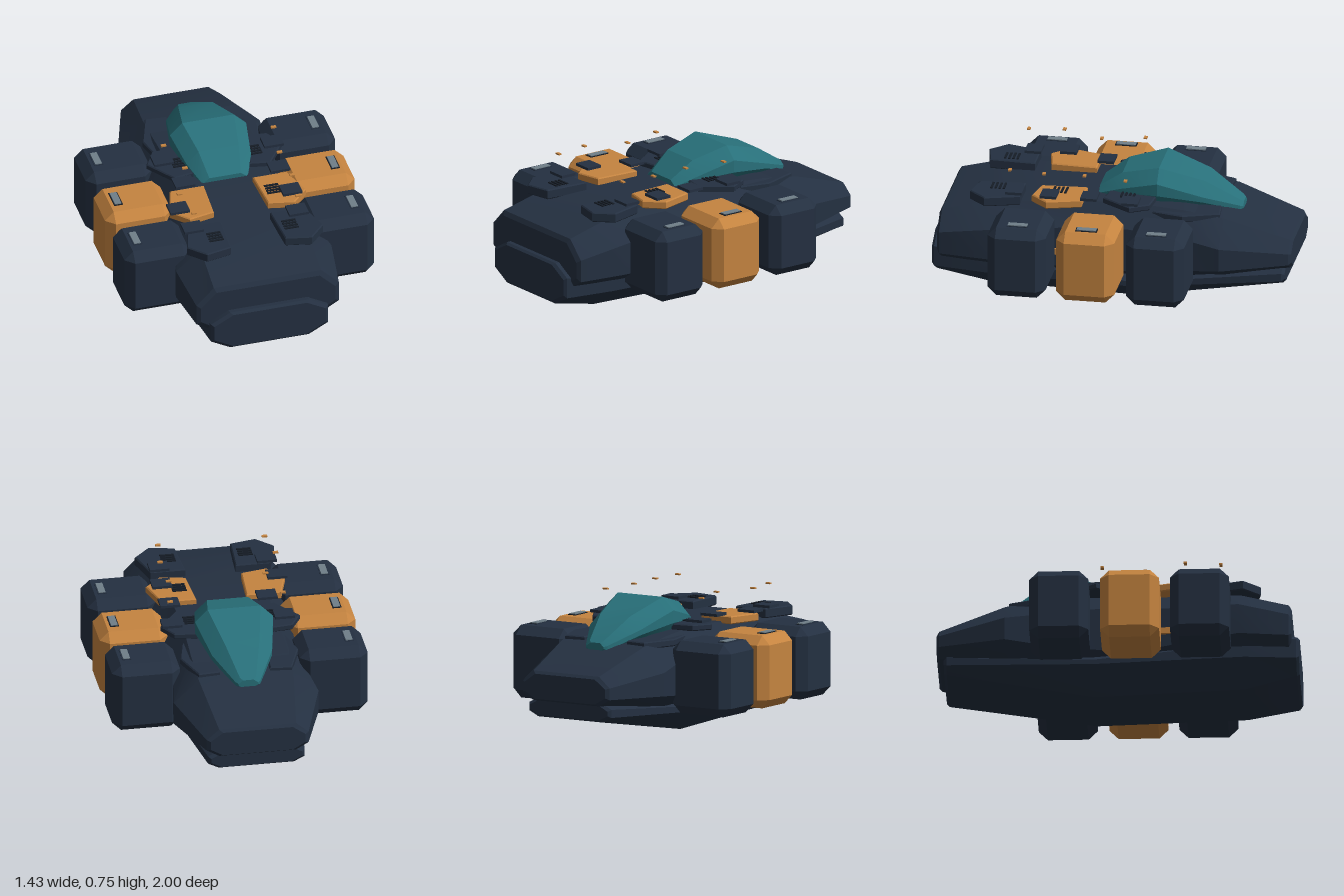
import * as THREE from 'three';
import { toCreasedNormals } from 'three/addons/utils/BufferGeometryUtils.js';
import { ConvexGeometry } from 'three/addons/geometries/ConvexGeometry.js';

const mat = (name, color) => {
  const m = new THREE.MeshStandardMaterial({ color });
  m.name = name;
  return m;
};

// Octagonal cross-sections [z, halfWidth, yBottom, yTop, cornerX, cornerYTop, cornerYBottom], front to back
function loft(sections, crease = 0.35) {
  const rings = sections.map(([z, w, y0, y1, cx, ct, cb, cxb = cx]) => [
    [w - cxb, y0], [w, y0 + cb], [w, y1 - ct], [w - cx, y1],
    [cx - w, y1], [-w, y1 - ct], [-w, y0 + cb], [cxb - w, y0],
  ].map(([x, y]) => [x, y, z]));
  const pos = [];
  const tri = (...p) => p.forEach((v) => pos.push(...v));
  const n = 8, last = rings[rings.length - 1];
  for (let i = 0; i < rings.length - 1; i++) {
    for (let j = 0; j < n; j++) {
      const k = (j + 1) % n;
      const a = rings[i][j], b = rings[i][k], c = rings[i + 1][j], d = rings[i + 1][k];
      tri(a, c, b);
      tri(b, c, d);
    }
  }
  for (let j = 1; j < n - 1; j++) {
    tri(rings[0][0], rings[0][j], rings[0][j + 1]);
    tri(last[0], last[j + 1], last[j]);
  }
  const g = new THREE.BufferGeometry();
  g.setAttribute('position', new THREE.Float32BufferAttribute(pos, 3));
  return toCreasedNormals(g, crease);
}

// Box with every edge cut at 45 degrees
function chamferBox(w, h, d, c) {
  const pts = [];
  for (const x of [-1, 1]) for (const y of [-1, 1]) for (const z of [-1, 1]) {
    for (let k = 0; k < 3; k++) {
      pts.push(new THREE.Vector3(
        x * (w / 2 - (k === 0 ? 0 : c)),
        y * (h / 2 - (k === 1 ? 0 : c)),
        z * (d / 2 - (k === 2 ? 0 : c))));
    }
  }
  return new ConvexGeometry(pts);
}

// Flat polygon of [x, z] points with a small bevel, lying between y0 and y1
function plate(points, side, y0, y1) {
  const b = 0.006;
  const shape = new THREE.Shape(points.map(([x, z]) => new THREE.Vector2(x * side, -z)));
  const g = new THREE.ExtrudeGeometry(shape, {
    depth: y1 - y0 - 2 * b, bevelEnabled: true, bevelThickness: b, bevelSize: b, bevelOffset: -b, bevelSegments: 1,
  });
  return g.rotateX(-Math.PI / 2).translate(0, y0 + b, 0);
}

export function createModel() {
  const navy = mat('navy hull', 0x243041);
  const orange = mat('orange armour', 0xc58440);
  const teal = mat('teal glass', 0x28707a);
  const grey = mat('grey lamp', 0x6f7f88);
  const black = mat('dark vent', 0x161d27);

  const model = new THREE.Group();
  const add = (name, geometry, material, x = 0, y = 0, z = 0) => {
    const m = new THREE.Mesh(geometry, material);
    m.name = name;
    m.position.set(x, y, z);
    model.add(m);
    return m;
  };
  const box = (w, h, d) => new THREE.BoxGeometry(w, h, d);

  // Hulls
  add('upperHull', loft([
    [0.96, 0.385, 0.22, 0.46, 0.09, 0.09, 0.06],
    [0.945, 0.408, 0.20, 0.485, 0.1, 0.1, 0.06],
    [0.67, 0.445, 0.17, 0.555, 0.14, 0.12, 0.09],
    [0.25, 0.37, 0.13, 0.57, 0.1, 0.12, 0.09],
    [-0.1, 0.36, 0.12, 0.58, 0.1, 0.12, 0.09],
    [-0.4, 0.37, 0.15, 0.56, 0.1, 0.13, 0.09],
    [-0.62, 0.405, 0.185, 0.525, 0.14, 0.13, 0.08],
    [-0.985, 0.285, 0.24, 0.405, 0.07, 0.06, 0.04],
    [-1.0, 0.265, 0.25, 0.39, 0.07, 0.05, 0.04],
  ]), navy);
  add('lowerHull', loft([
    [1.0, 0.32, 0.11, 0.32, 0.11, 0.06, 0.06],
    [0.985, 0.335, 0.095, 0.33, 0.11, 0.06, 0.06],
    [0.7, 0.37, 0.03, 0.33, 0.12, 0.1, 0.12, 0.17],
    [-0.13, 0.365, 0.003, 0.25, 0.12, 0.1, 0.12, 0.175],
    [-0.945, 0.27, 0.145, 0.25, 0.06, 0.03, 0.03],
    [-0.96, 0.255, 0.155, 0.24, 0.06, 0.03, 0.03],
  ]), navy);

  // Canopy
  add('canopy', loft([
    [0.10, 0.13, 0.5, 0.60, 0.04, 0.03, 0.06],
    [-0.03, 0.185, 0.5, 0.695, 0.07, 0.07, 0.1],
    [-0.24, 0.218, 0.5, 0.75, 0.07, 0.07, 0.11],
    [-0.49, 0.168, 0.5, 0.67, 0.07, 0.07, 0.07],
    [-0.68, 0.07, 0.48, 0.55, 0.025, 0.025, 0.02],
    [-0.695, 0.055, 0.49, 0.54, 0.025, 0.02, 0.02],
  ], 0.3), teal);

  // Deck plates, as [x, z] outlines for the +x side
  const deck = [[0.14, 0.16], [0.335, 0.16], [0.39, 0.35], [0.3, 0.445], [0.155, 0.415]];
  const rearDeck = [[0.2, -0.235], [0.33, -0.22], [0.39, -0.115], [0.275, 0.05], [0.16, 0.03]];
  const tailDeck = [[0.14, -0.59], [0.26, -0.60], [0.33, -0.4], [0.29, -0.23], [0.14, -0.25]];
  const frontDeck = deck.map(([x, z]) => [x, z + 0.345]);

  for (const s of [1, -1]) {
    const side = s > 0 ? 'left' : 'right';

    // Side pods with a lamp on top
    for (const [name, z, m] of [['frontPod', 0.465, navy], ['middlePod', 0.08, orange], ['rearPod', -0.31, navy]]) {
      add(side + name, chamferBox(0.38, 0.405, 0.325, 0.05), m, s * 0.525, 0.3475, z);
      add(side + name + 'LampFrame', box(0.05, 0.006, 0.12), m === orange ? black : navy, s * 0.622, 0.551, z);
      add(side + name + 'Lamp', box(0.038, 0.009, 0.108), grey, s * 0.622, 0.554, z);
    }
    add(side + 'Strut', box(0.05, 0.035, 0.16), orange, s * 0.365, 0.31, 0.235);

    // Deck armour
    add(side + 'FrontDeckPlate', plate(frontDeck, s, 0.55, 0.605), navy);
    add(side + 'MiddleDeckPlate', plate(deck, s, 0.56, 0.605), orange);
    add(side + 'RearDeckPlate', plate(rearDeck, s, 0.57, 0.605), navy);
    add(side + 'TailDeckPlate', plate(tailDeck, s, 0.51, 0.55), navy);
  }

  // Small hatches and the markers hovering above them: [x, z, marker x, marker z]
  const hatches = [
    [-0.315, 0.54, -0.313, 0.57], [-0.34, 0.345, -0.34, 0.375], [-0.245, 0.12, -0.245, 0.15], [-0.3, -0.115, -0.3, -0.085],
    [0.285, 0.54, 0.283, 0.57], [0.305, 0.345, 0.305, 0.375], [0.3, 0.12, 0.297, 0.15], [0.33, -0.115, 0.33, -0.085],
  ];
  for (const [x, z, mx, mz] of hatches) {
    add('hatch', box(0.11, 0.015, 0.092), navy, x, 0.617, z);
    add('marker', box(0.03, 0.008, 0.018), orange, mx, 0.736, mz);
  }

  // Vent slats
  for (const [x, z] of [[-0.215, 0.645], [0.215, 0.645], [0.215, 0.3], [-0.215, -0.08], [0.215, -0.08]]) {
    for (let i = 0; i < 4; i++) {
      add('ventSlat', box(0.08, 0.01, 0.012), black, x, 0.606, z + (i - 1.5) * 0.023);
    }
  }
  return model;
}
